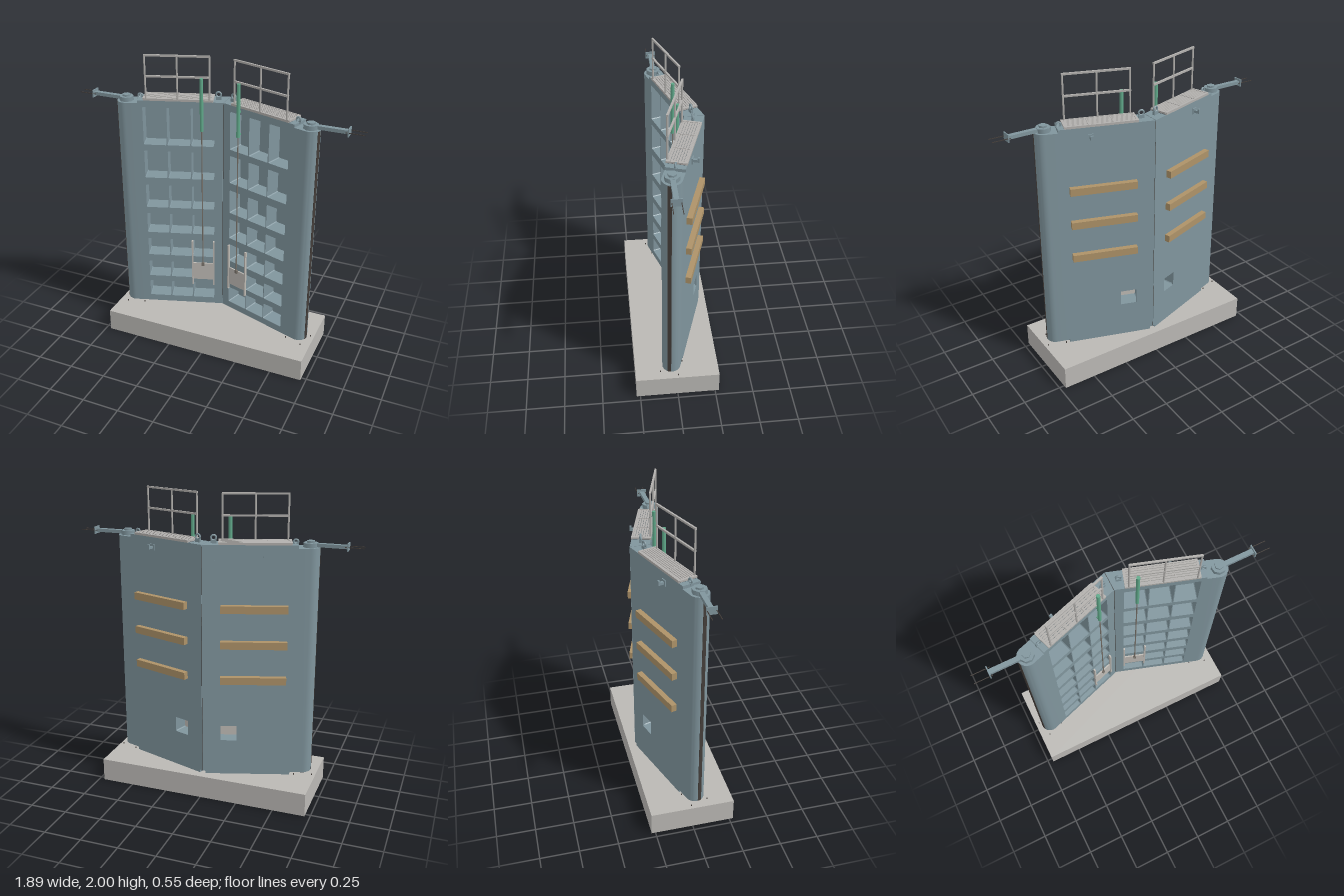
import * as THREE from 'three';
import { toCreasedNormals } from 'three/addons/utils/BufferGeometryUtils.js';

const paint = (name, color) => {
  const m = new THREE.MeshStandardMaterial({ color });
  m.name = name;
  return m;
};

const TILT = Math.PI / 10;      // leaf angle to the sill
const HALF = 0.06;              // half the leaf thickness
const HEEL = 0.647;             // heel axis, measured along the leaf
const BOTTOM = 0.175, TOP = 1.70;

export function createModel() {
  const steel = paint('blue steel', 0x80959d);
  const concrete = paint('concrete', 0xbab8b4);
  const timber = paint('timber', 0xad9268);
  const green = paint('actuator green', 0x60a98a);
  const grey = paint('galvanised grey', 0xb2b0ad);
  const plate = paint('valve grey', 0xbfbbb5);
  const rubber = paint('rubber seal', 0x433d39);
  const rodMetal = paint('rod metal', 0x7a746c);
  const ironwork = paint('dark iron', 0x5a656c);

  const model = new THREE.Group();
  model.name = 'lockGate';

  const add = (parent, name, geo, mat, x = 0, y = 0, z = 0) => {
    const m = new THREE.Mesh(geo, mat);
    m.name = name;
    m.position.set(x, y, z);
    parent.add(m);
    return m;
  };

  add(model, 'concreteSill', new THREE.BoxGeometry(1.43, 0.155, 0.55), concrete, 0, 0.0775, 0);

  // One leaf per side; s mirrors every x position
  for (const s of [1, -1]) {
    const leaf = new THREE.Group();
    leaf.name = s > 0 ? 'leftLeaf' : 'rightLeaf';
    leaf.position.z = -0.165;
    leaf.rotation.y = -s * TILT;
    model.add(leaf);

    // Box given by its ranges along the leaf, up, and through the leaf
    const box = (name, mat, x0, x1, y0, y1, z0, z1, parent = leaf) =>
      add(parent, name, new THREE.BoxGeometry(x1 - x0, y1 - y0, z1 - z0), mat,
        s * (x0 + x1) / 2, (y0 + y1) / 2, (z0 + z1) / 2);
    const post = (name, mat, r, x, y0, y1, z, sides = 16) =>
      add(leaf, name, new THREE.CylinderGeometry(r, r, y1 - y0, sides), mat, s * x, (y0 + y1) / 2, z);
    // Mirrored outlines are reversed so that they keep their winding
    const outline = (pts) => {
      const out = pts.map(([x, y]) => new THREE.Vector2(s * x, y));
      return s > 0 ? out : out.reverse();
    };
    const rect = (x0, x1, y0, y1, c = 0) => outline(c
      ? [[x0 + c, y0], [x1 - c, y0], [x1, y0 + c], [x1, y1 - c], [x1 - c, y1], [x0 + c, y1], [x0, y1 - c], [x0, y0 + c]]
      : [[x0, y0], [x1, y0], [x1, y1], [x0, y1]]);
    // Plan outline of (along, through) points raised between two heights
    const raise = (name, mat, pts, y0, y1) => {
      const shape = new THREE.Shape(outline(pts.map(([x, z]) => [x, -z])));
      const geo = new THREE.ExtrudeGeometry(shape, { depth: y1 - y0, bevelEnabled: false });
      geo.rotateX(-Math.PI / 2);
      return add(leaf, name, toCreasedNormals(geo, 0.5), mat, 0, y0, 0);
    };
    const slab = (name, mat, shape, z0, z1) => add(leaf, name,
      new THREE.ExtrudeGeometry(shape, { depth: z1 - z0, bevelEnabled: false }), mat, 0, 0, z0);

    // Girder frame with three columns of open cells
    const rows = [[0.222, 0.344], [0.386, 0.508], [0.561, 0.693], [0.741, 0.889],
      [0.937, 1.106], [1.159, 1.354], [1.397, 1.656]];
    const frame = new THREE.Shape(rect(0.06, 0.57, BOTTOM, TOP));
    for (const [y0, y1] of rows) {
      for (let c = 0; c < 3; c++) {
        const x = 0.077 + c * 0.1555;
        frame.holes.push(new THREE.Path(rect(x, x + 0.150, y0, y1, 0.005)));
      }
    }
    slab('girderFrame', steel, frame, -0.05, HALF);

    // Skin plate with the sluice opening
    const skin = new THREE.Shape(rect(0.06, 0.57, BOTTOM, TOP));
    skin.holes.push(new THREE.Path(rect(0.10, 0.205, 0.40, 0.503)));
    slab('skinPlate', steel, skin, -HALF, -0.05);

    // Mitre post, cut so both leaves meet on the centre plane
    const cut = HALF * Math.tan(TILT);
    raise('mitrePost', steel, [[-cut + 0.002, -HALF], [cut + 0.002, HALF], [0.06, HALF], [0.06, -HALF]], BOTTOM, TOP);
    raise('mitreSeal', rubber, [[-cut, -HALF + 0.002], [cut, HALF - 0.002], [cut + 0.004, HALF - 0.002], [-cut + 0.004, -HALF + 0.002]], BOTTOM, TOP - 0.01);

    // Rounded heel post and its seal
    const heel = [[0.57, -HALF]];
    for (let i = 0; i <= 20; i++) {
      const a = -Math.PI / 2 + Math.PI * i / 20;
      heel.push([HEEL + HALF * Math.cos(a), HALF * Math.sin(a)]);
    }
    heel.push([0.57, HALF]);
    raise('heelPost', steel, heel, BOTTOM, 1.68);
    box('heelSeal', rubber, HEEL + 0.045, HEEL + 0.061, BOTTOM, 1.675, -0.012, 0.012);

    // Skirt that closes the gap above the sill
    box('bottomSkirt', steel, 0, 0.56, 0.156, BOTTOM, -HALF, -0.045);
    box('bottomSeal', ironwork, 0, 0.56, 0.156, BOTTOM, -0.045, -0.03);

    // Pintle and bolts
    post('pintle', ironwork, 0.03, HEEL, 0.155, BOTTOM, 0);
    for (const dx of [-0.06, 0.06]) for (const dz of [-0.06, 0.06])
      post('pintleBolt', rubber, 0.0035, HEEL + dx, 0.155, 0.165, dz, 6);

    // Gudgeon collar and pin on the heel
    post('gudgeonCollar', steel, 0.046, HEEL, 1.68, 1.708, 0, 8);
    post('gudgeonPin', steel, 0.027, HEEL, 1.708, 1.72, 0, 6);

    // Timber fenders on the back
    for (const y of [0.83, 1.067, 1.30])
      box('fender', timber, 0.098, 0.518, y - 0.024, y + 0.024, -0.095, -HALF);

    // Mooring hook on the back
    box('mooringPlate', steel, 0.36, 0.395, 1.617, 1.657, -0.067, -HALF);
    box('mooringArm', steel, 0.369, 0.386, 1.629, 1.645, -0.098, -0.067);
    box('mooringHook', steel, 0.369, 0.386, 1.629, 1.658, -0.104, -0.092);

    // Walkway grating
    box('walkwayBed', ironwork, 0.085, 0.53, TOP, 1.705, -0.052, 0.058);
    for (let i = 0; i < 7; i++) {
      const z = -0.045 + i * 0.015;
      box('gratingBar', grey, 0.085, 0.53, 1.705, 1.713, z - 0.0058, z + 0.0058);
    }
    for (const [x, w] of [[0.083, 0.014], [0.233, 0.006], [0.382, 0.006], [0.52, 0.014]])
      box('gratingCross', grey, x, x + w, 1.704, 1.7155, -0.055, 0.061);
    for (const z of [-0.057, 0.057])
      box('gratingEdge', grey, 0.085, 0.53, TOP, 1.715, z - 0.005, z + 0.005);

    // Handrail
    for (const x of [0.107, 0.31, 0.512])
      post('railPost', grey, 0.006, x, TOP, 1.995, 0.057, 8);
    for (const y of [1.86, 1.994])
      box('rail', grey, 0.102, 0.517, y - 0.006, y + 0.006, 0.051, 0.063);

    // Lifting lugs
    for (const [x, y, r] of [[0.054, 1.734, 0.016], [0.557, 1.712, 0.014]]) {
      add(leaf, 'liftingLug', new THREE.TorusGeometry(r, 0.006, 8, 20), steel, s * x, y, 0);
      box('lugFoot', steel, x - 0.018, x + 0.018, 1.69, y - r + 0.003, -0.008, 0.008);
    }

    // Sluice valve with guides, rod and actuator
    box('valvePlate', plate, 0.082, 0.228, 0.38, 0.512, HALF, 0.069);
    for (const x of [0.076, 0.224])
      box('valveGuide', plate, x, x + 0.010, 0.34, 0.69, HALF, 0.076);
    box('rodClevis', rodMetal, 0.147, 0.165, 0.497, 0.522, 0.067, 0.082);
    post('valveRod', rodMetal, 0.004, 0.156, 0.51, 1.52, 0.076, 10);
    post('actuator', green, 0.0115, 0.156, 1.51, 1.86, 0.076);
    for (const y of [1.53, 1.68])
      box('actuatorBracket', green, 0.147, 0.165, y - 0.006, y + 0.006, 0.058, 0.07);

    // Anchor arm running out to the lock wall
    const anchor = new THREE.Group();
    anchor.name = 'wallAnchor';
    anchor.position.z = 0.035;
    model.add(anchor);
    box('anchorArm', steel, 0.64, 0.845, 1.684, 1.706, -0.015, 0.015, anchor);
    box('anchorPlate', steel, 0.843, 0.85, 1.672, 1.72, -0.032, 0.032, anchor);
    for (const z of [-0.026, 0.026])
      box('anchorRod', rubber, 0.83, 0.945, 1.694, 1.698, z - 0.002, z + 0.002, anchor);
  }
  return model;
}
